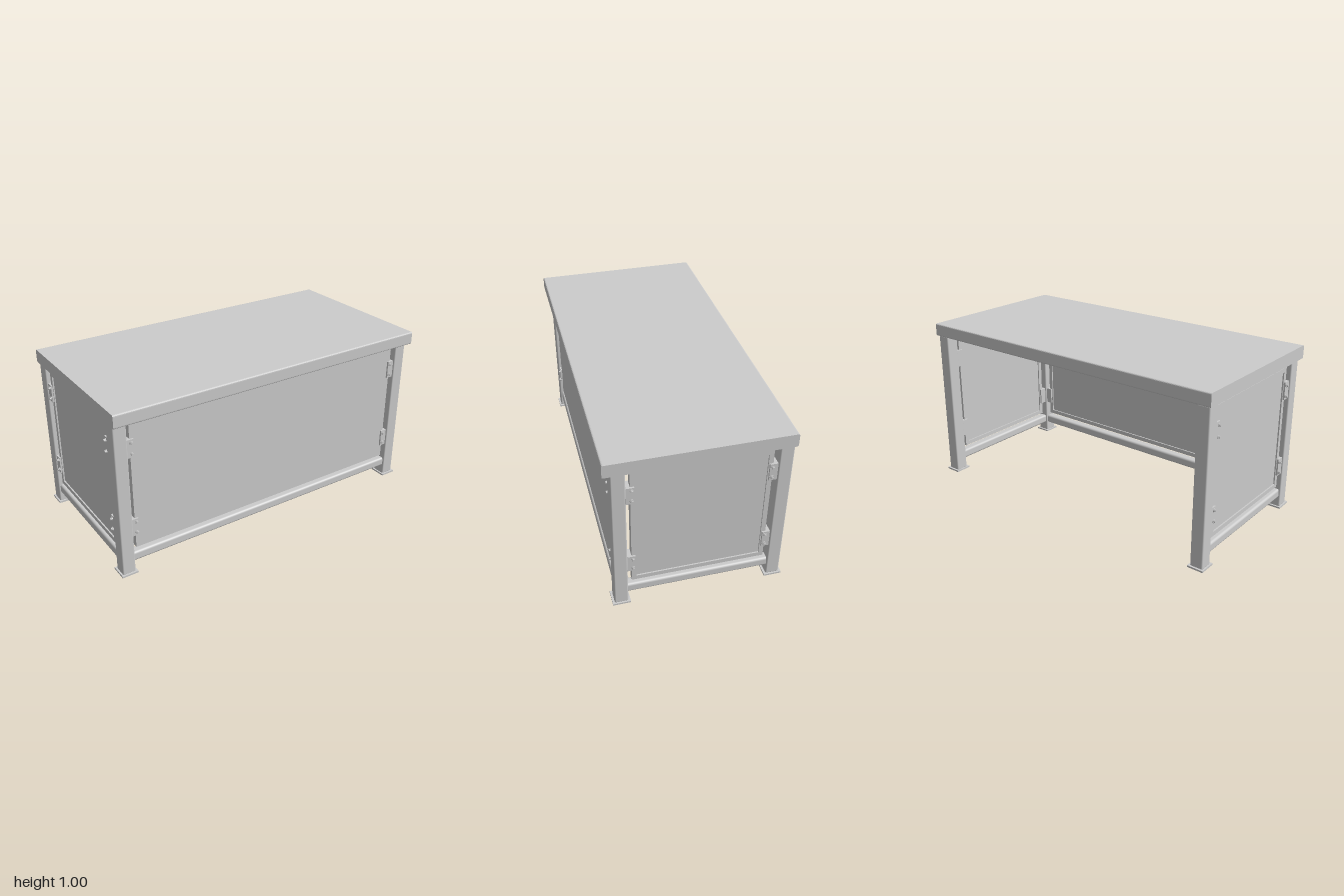
import * as THREE from 'three';
import { RoundedBoxGeometry } from 'three/addons/geometries/RoundedBoxGeometry.js';

const mat = new THREE.MeshStandardMaterial({ color: 0xcccccc });
const LEG_X = 0.952, FRONT_Z = 0.4215, BACK_Z = -0.45;

function add(parent, name, geometry, x = 0, y = 0, z = 0) {
  const mesh = new THREE.Mesh(geometry, mat);
  mesh.name = name;
  mesh.position.set(x, y, z);
  parent.add(mesh);
  return mesh;
}

const box = (w, h, d) => new THREE.BoxGeometry(w, h, d);
const tube = (w, h, d, r = 0.008) => new RoundedBoxGeometry(w, h, d, 3, r);

function rectangle(w, h, Type = THREE.Shape) {
  return new Type([
    new THREE.Vector2(-w / 2, -h / 2), new THREE.Vector2(w / 2, -h / 2),
    new THREE.Vector2(w / 2, h / 2), new THREE.Vector2(-w / 2, h / 2),
  ]);
}

// Framed panel with its four clamps, facing local +z
function createPanel(name, width, flushFront) {
  const group = new THREE.Group();
  group.name = name;
  const height = 0.753, depth = 0.04, border = 0.026, midY = 0.5235;

  const shape = rectangle(width, height);
  shape.holes.push(rectangle(width - 2 * border, height - 2 * border, THREE.Path));
  const frame = new THREE.ExtrudeGeometry(shape, { depth, bevelEnabled: false });
  add(group, 'panelFrame', frame, 0, midY, -depth / 2);

  // Sheet: level with the frame on the front panel, recessed on the sides
  const front = depth / 2 - (flushFront ? 0 : 0.008), back = -depth / 2 + 0.008;
  add(group, 'panelSheet', box(width - 2 * border, height - 2 * border, front - back),
    0, midY, (front + back) / 2);

  for (const side of [-1, 1]) {
    for (const y of [0.2825, 0.7625]) {
      add(group, 'clamp', box(0.044, 0.105, 0.06), side * (width / 2 + 0.002), y, 0);
      for (const dy of [-0.0325, 0.0325]) {
        const washer = new THREE.CylinderGeometry(0.011, 0.011, 0.004, 16).rotateX(Math.PI / 2);
        add(group, 'washer', washer, side * (width / 2 - 0.006), y + dy, 0.032);
        const bolt = new THREE.CylinderGeometry(0.008, 0.008, 0.012, 6).rotateX(Math.PI / 2);
        add(group, 'bolt', bolt, side * (width / 2 - 0.006), y + dy, 0.036);
      }
    }
  }
  return group;
}

// Table top with its long edges slightly rounded
function createTop() {
  const r = 0.01, w = 0.5, y0 = 0.923, y1 = 1;
  const s = new THREE.Shape();
  s.moveTo(-w + r, y0);
  s.lineTo(w - r, y0);
  s.quadraticCurveTo(w, y0, w, y0 + r);
  s.lineTo(w, y1 - r);
  s.quadraticCurveTo(w, y1, w - r, y1);
  s.lineTo(-w + r, y1);
  s.quadraticCurveTo(-w, y1, -w, y1 - r);
  s.lineTo(-w, y0 + r);
  s.quadraticCurveTo(-w, y0, -w + r, y0);
  return new THREE.ExtrudeGeometry(s, { depth: 2, bevelEnabled: false, curveSegments: 4 })
    .translate(0, 0, -1).rotateY(Math.PI / 2);
}

export function createModel() {
  const model = new THREE.Group();
  model.name = 'workbench';
  add(model, 'tableTop', createTop());

  // Legs and foot plates
  for (const x of [-LEG_X, LEG_X]) {
    for (const z of [FRONT_Z, BACK_Z]) {
      add(model, 'leg', tube(0.077, 0.92, 0.077), x, 0.465, z);
      add(model, 'footPlate', box(0.096, 0.01, 0.1), x, 0.005, z);
    }
    add(model, 'sideRail', tube(0.057, 0.057, 0.82, 0.014), x, 0.0935, -0.0145);
  }
  add(model, 'frontRail', tube(1.85, 0.057, 0.057, 0.014), 0, 0.0935, FRONT_Z);

  // Panels on the front and both sides, the back stays open
  const front = createPanel('frontPanel', 1.786, true);
  front.position.z = FRONT_Z;
  model.add(front);
  for (const side of [-1, 1]) {
    const panel = createPanel(side > 0 ? 'leftPanel' : 'rightPanel', 0.746, false);
    panel.position.set(side * LEG_X, 0, -0.015);
    panel.rotation.y = side * Math.PI / 2;
    model.add(panel);
  }
  return model;
}
